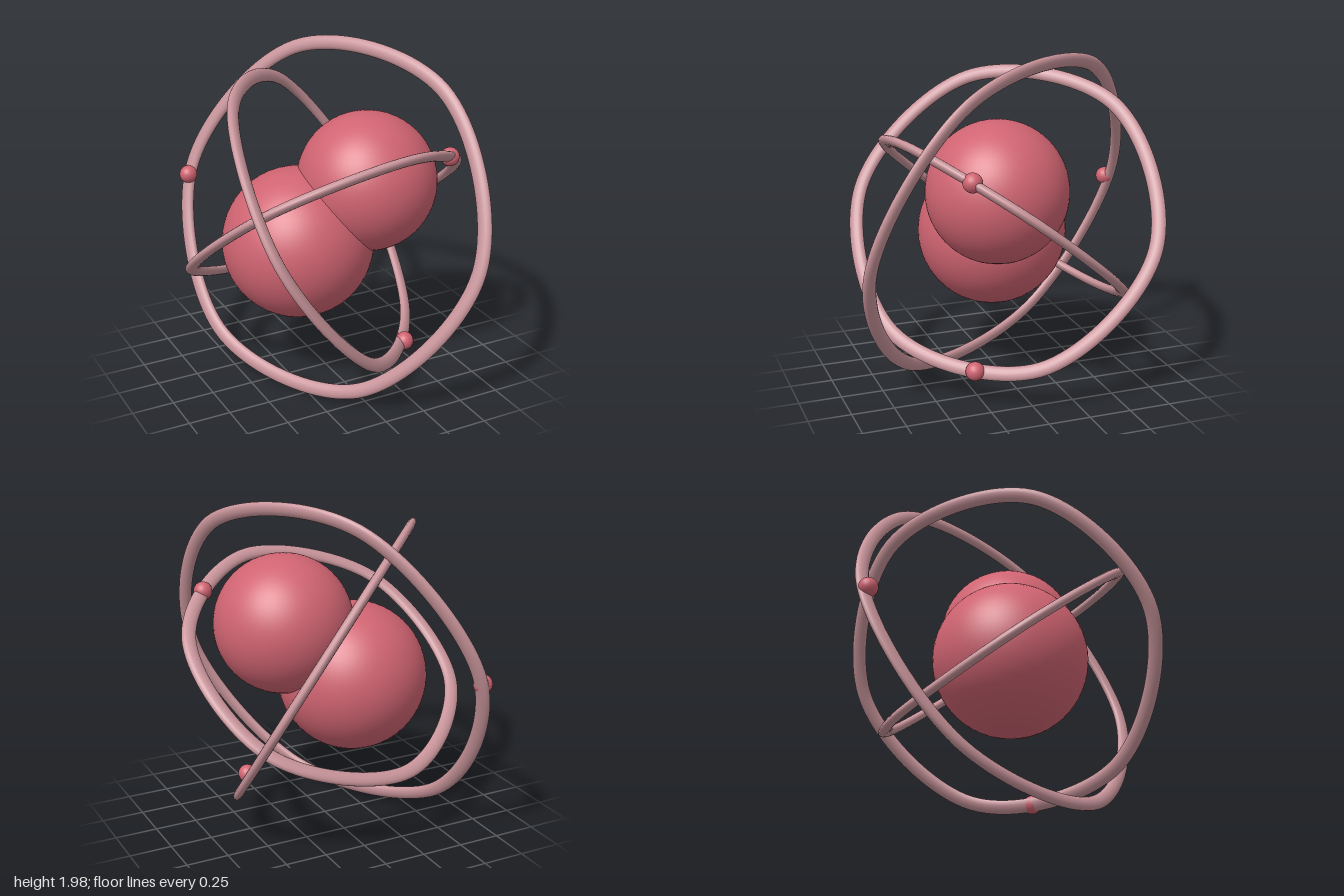
import * as THREE from 'three';

export function createModel() {
  const model = new THREE.Group();
  const red = new THREE.MeshStandardMaterial({ color: 0xd06472 });
  red.name = 'rose red';
  const pink = new THREE.MeshStandardMaterial({ color: 0xc8949a });
  pink.name = 'dusty pink';

  const ball = (name, radius, position, segments) => {
    const mesh = new THREE.Mesh(new THREE.SphereGeometry(radius, segments, segments / 2), red);
    mesh.name = name;
    mesh.position.set(...position);
    model.add(mesh);
  };

  // Orbit ring: soft six-cornered loop, flattened across its own plane.
  // normal = axis of the ring, corner = direction of one of its corners.
  const ring = (name, radius, normal, corner) => {
    const points = [];
    for (let i = 0; i < 6; i++) {
      const a = (i * Math.PI) / 3;
      points.push(new THREE.Vector3(radius * Math.cos(a), radius * Math.sin(a), 0));
    }
    const path = new THREE.CatmullRomCurve3(points, true);
    const geometry = new THREE.TubeGeometry(path, 120, 0.043, 16, true);
    geometry.scale(1, 1, 0.62);

    const zAxis = new THREE.Vector3(...normal).normalize();
    const xAxis = new THREE.Vector3(...corner).projectOnPlane(zAxis).normalize();
    const yAxis = new THREE.Vector3().crossVectors(zAxis, xAxis);
    const mesh = new THREE.Mesh(geometry, pink);
    mesh.name = name;
    mesh.quaternion.setFromRotationMatrix(new THREE.Matrix4().makeBasis(xAxis, yAxis, zAxis));
    mesh.position.y = 1;
    model.add(mesh);
  };

  // Two merged core spheres
  ball('largeCore', 0.445, [-0.18, 0.876, 0], 64);
  ball('smallCore', 0.41, [0.215, 1.222, 0.108], 64);

  // Three orbits, each with a small bead
  ring('innerRing', 0.835, [-0.115, 0.79, -0.62], [0.59, -0.31, -0.5]);
  ring('middleRing', 0.935, [0.67, 0.51, 0.54], [0.05, 0.66, -0.69]);
  ring('outerRing', 1.035, [0.823, -0.34, -0.453], [-0.5, 0.1, -0.91]);
  ball('innerBead', 0.055, [0.6, 1.395, 0.387], 24);
  ball('middleBead', 0.055, [0.38, 0.222, 0.305], 24);
  ball('outerBead', 0.055, [-0.505, 1.05, -0.892], 24);

  return model;
}
